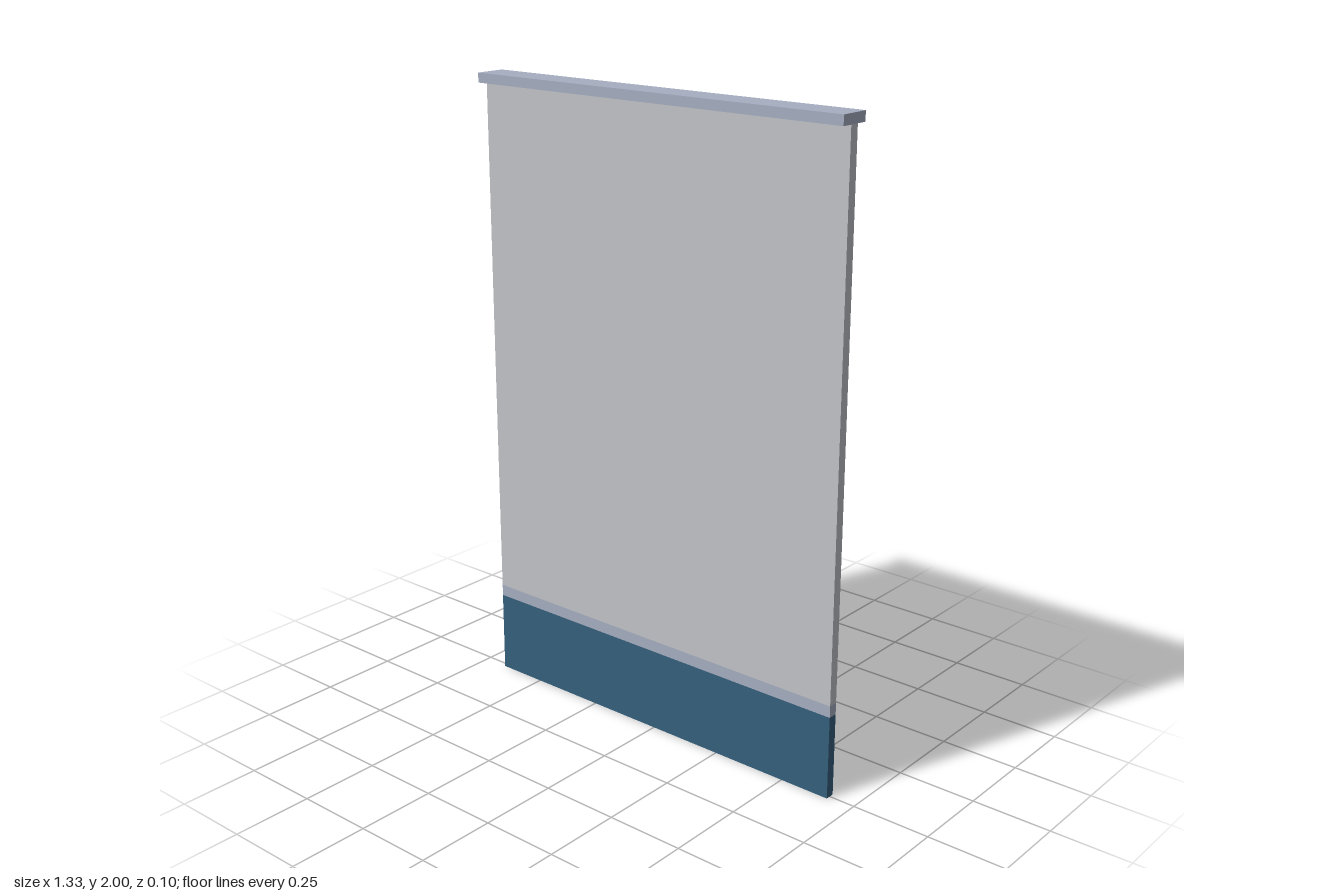
import * as THREE from 'three';

const material = (name, color) => {
  const m = new THREE.MeshStandardMaterial({ color });
  m.name = name;
  return m;
};

export function createModel() {
  const group = new THREE.Group();
  group.name = 'partitionPanel';

  const panelGrey = material('panelGrey', 0xc2c4c9);
  const trimGrey = material('trimGrey', 0xa6aec1);
  const kickBlue = material('kickBlue', 0x35607d);

  const width = 1.33;
  const thickness = 0.03;

  // Full-width slab between two heights
  const slab = (name, bottom, top, depth, mat) => {
    const mesh = new THREE.Mesh(new THREE.BoxGeometry(width, top - bottom, depth), mat);
    mesh.name = name;
    mesh.position.y = (bottom + top) / 2;
    group.add(mesh);
  };

  // Stacked from the floor up, finished by a wider rail on top
  slab('kickPlate', 0, 0.265, thickness, kickBlue);
  slab('trimStripe', 0.265, 0.302, thickness, trimGrey);
  slab('wallPanel', 0.302, 1.97, thickness, panelGrey);
  slab('topRail', 1.97, 2, 0.1, trimGrey);

  return group;
}
